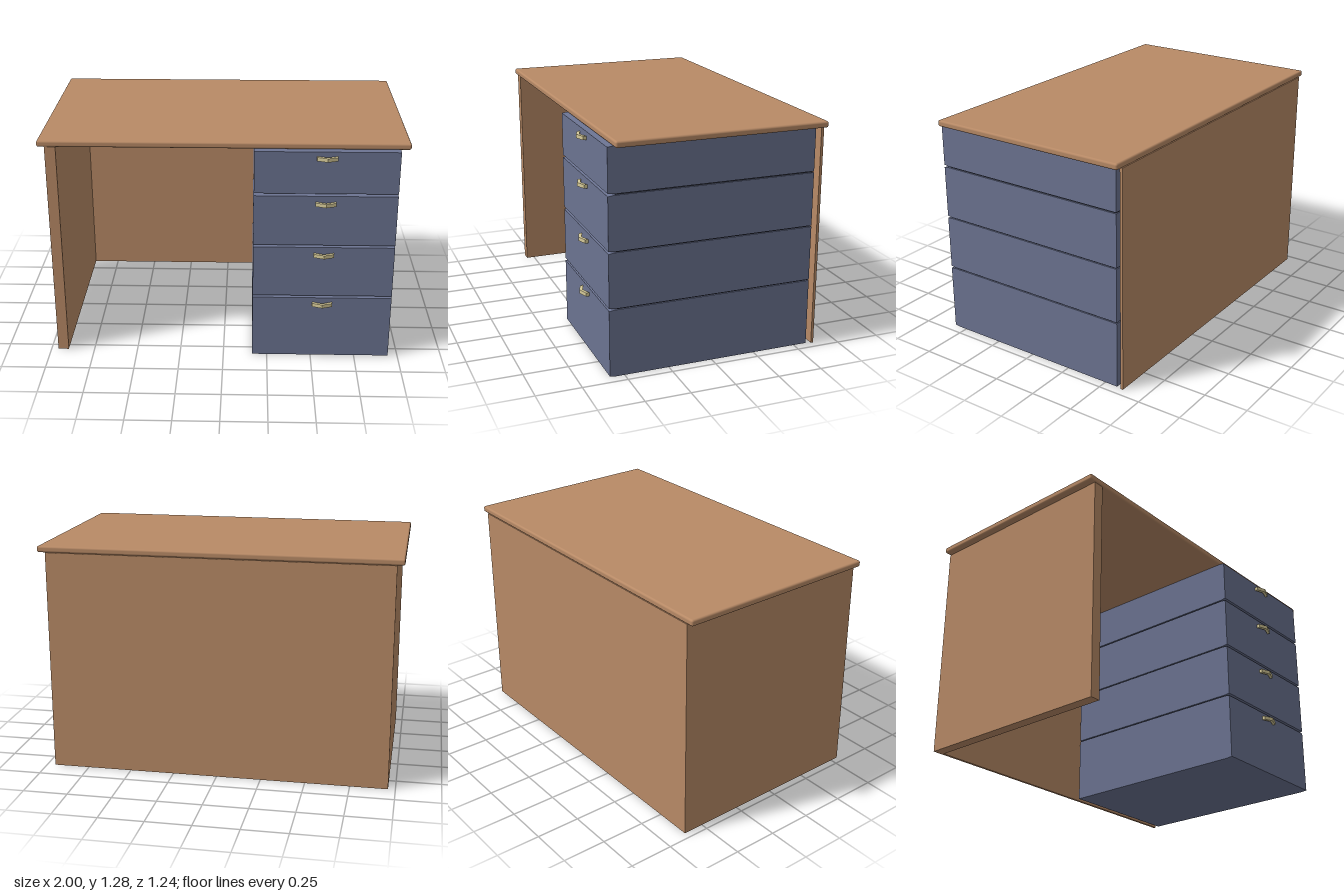
import * as THREE from 'three';
import { RoundedBoxGeometry } from 'three/addons/geometries/RoundedBoxGeometry.js';

const wood = new THREE.MeshStandardMaterial({ color: 0xb88a66 });
const blue = new THREE.MeshStandardMaterial({ color: 0x6b7391, flatShading: true });
const dark = new THREE.MeshStandardMaterial({ color: 0x2f323f });
const brass = new THREE.MeshStandardMaterial({ color: 0xd8cc9a, flatShading: true });

function add(parent, name, geometry, material) {
  const mesh = new THREE.Mesh(geometry, material);
  mesh.name = name;
  parent.add(mesh);
  return mesh;
}

// Box given by its lower and upper limits on each axis
function box(x0, x1, y0, y1, z0, z1, depthSegments = 1) {
  return new THREE.BoxGeometry(x1 - x0, y1 - y0, z1 - z0, 1, 1, depthSegments)
    .translate((x0 + x1) / 2, (y0 + y1) / 2, (z0 + z1) / 2);
}

// Drawer box whose front edge is slightly chamfered above and below
function drawerGeometry(y0, y1) {
  const back = -0.576, front = 0.582;
  const geometry = box(0.165, 0.945, y0, y1, back, front, 2);
  const p = geometry.attributes.position;
  const middle = (y0 + y1) / 2;
  for (let i = 0; i < p.count; i++) {
    const z = p.getZ(i);
    if (z > 0.5) p.setY(i, p.getY(i) + (p.getY(i) > middle ? -0.004 : 0.004));
    else if (z > -0.1) p.setZ(i, 0.55);
  }
  geometry.computeVertexNormals();
  return geometry;
}

// Chevron pull, drawn in plan and extruded upward
function handleGeometry() {
  const plan = [[-0.056, 0], [0, -0.02], [0.056, 0], [0.056, -0.018], [0, -0.038], [-0.056, -0.018]];
  const shape = new THREE.Shape(plan.map(([x, z]) => new THREE.Vector2(x, z)));
  return new THREE.ExtrudeGeometry(shape, { depth: 0.021, bevelEnabled: false }).rotateX(-Math.PI / 2);
}

export function createModel() {
  const desk = new THREE.Group();
  desk.name = 'desk';

  // Rounded top, side panel and thin back panel
  const top = add(desk, 'desktop', new RoundedBoxGeometry(2, 0.035, 1.176, 3, 0.011), wood);
  top.position.set(0, 1.2675, -0.032);
  add(desk, 'sidePanel', box(-0.96, -0.9, 0, 1.25, -0.604, 0.548), wood);
  add(desk, 'backPanel', box(-0.96, 0.953, 0, 1.25, -0.619, -0.604), wood);

  // Drawer stack around a dark recessed core
  const stack = new THREE.Group();
  stack.name = 'drawerStack';
  desk.add(stack);
  add(stack, 'drawerCore', box(0.173, 0.937, 0.01, 1.24, -0.57, 0.54), dark);

  const drawers = [[0, 0.378, 0.327], [0.384, 0.691, 0.633], [0.697, 0.996, 0.939], [1.003, 1.25, 1.201]];
  for (const [y0, y1, handleY] of drawers) {
    const drawer = new THREE.Group();
    drawer.name = 'drawer';
    stack.add(drawer);
    add(drawer, 'drawerBox', drawerGeometry(y0, y1), blue);
    add(drawer, 'drawerHandle', handleGeometry(), brass).position.set(0.555, handleY, 0.582);
  }
  return desk;
}
